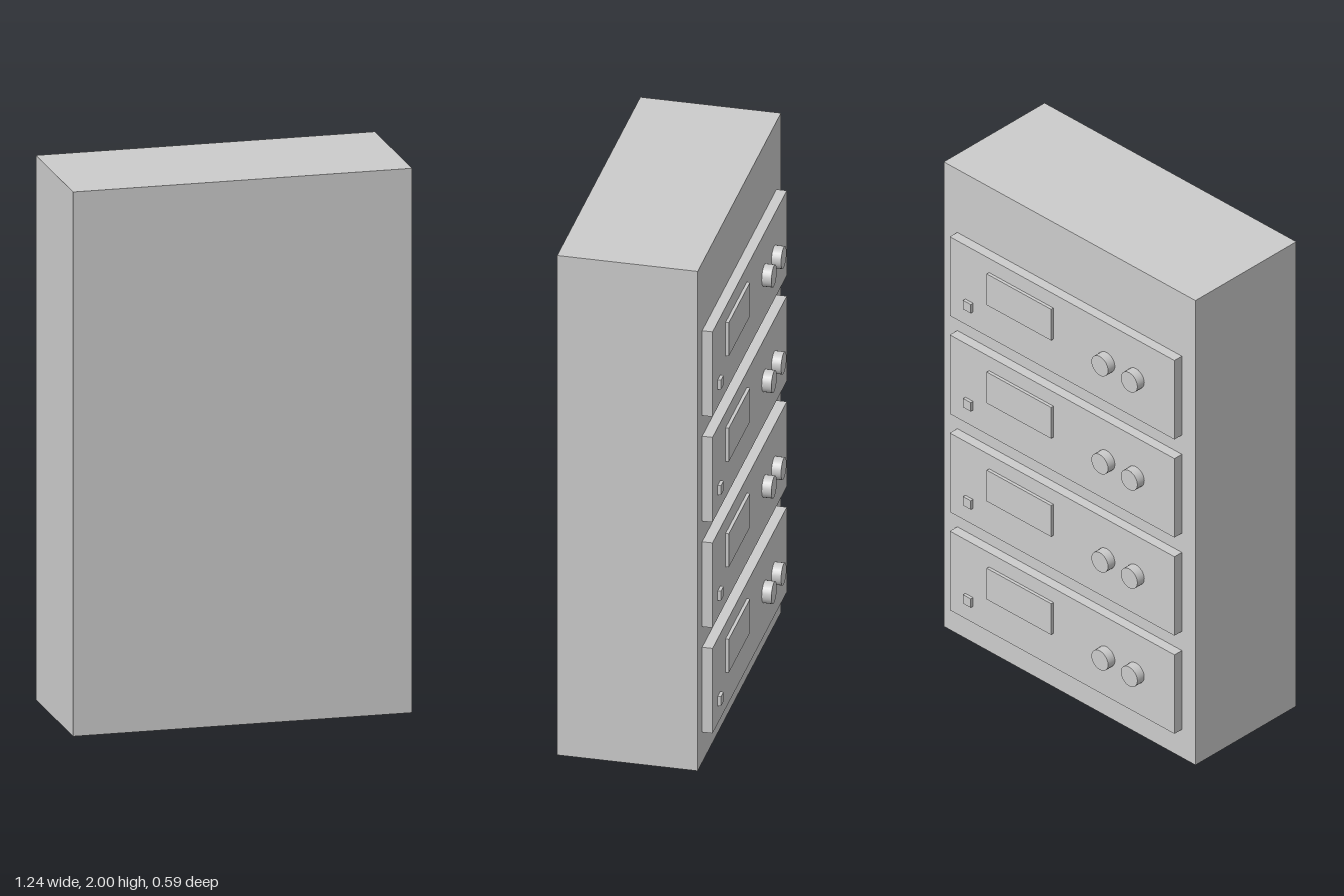
import * as THREE from 'three';

const material = new THREE.MeshStandardMaterial({ color: 0xcccccc });
const CABINET_BACK = -0.22;
const PANEL_BACK = -0.258;

function addMesh(parent, name, geometry, x, y, z) {
  const mesh = new THREE.Mesh(geometry, material);
  mesh.name = name;
  mesh.position.set(x, y, z);
  parent.add(mesh);
}

// Box sitting on the plane z = base and rising towards -z
function addPlate(parent, name, w, h, d, x, y, base) {
  addMesh(parent, name, new THREE.BoxGeometry(w, h, d), x, y, base - d / 2);
}

// One control panel, with y measured from its lower edge
function createPanel() {
  const panel = new THREE.Group();
  addPlate(panel, 'panelPlate', 1.11, 0.34, 0.038, 0, 0.17, CABINET_BACK);
  addPlate(panel, 'displayScreen', 0.318, 0.134, 0.012, 0.202, 0.212, PANEL_BACK);
  addPlate(panel, 'powerButton', 0.038, 0.038, 0.012, 0.459, 0.09, PANEL_BACK);

  // Pair of round knobs
  const knob = new THREE.CylinderGeometry(0.041, 0.041, 0.035, 24).rotateX(-Math.PI / 2);
  for (const x of [-0.365, -0.22]) addMesh(panel, 'knob', knob, x, 0.173, PANEL_BACK - 0.0175);
  return panel;
}

export function createModel() {
  const model = new THREE.Group();
  model.name = 'equipmentCabinet';
  addMesh(model, 'cabinet', new THREE.BoxGeometry(1.244, 2, 0.513), 0, 1, 0.0365);

  // Four stacked control panels
  for (let i = 0; i < 4; i++) {
    const panel = createPanel();
    panel.name = 'controlPanel' + (i + 1);
    panel.position.y = 0.121 + i * 0.4225;
    model.add(panel);
  }
  return model;
}
